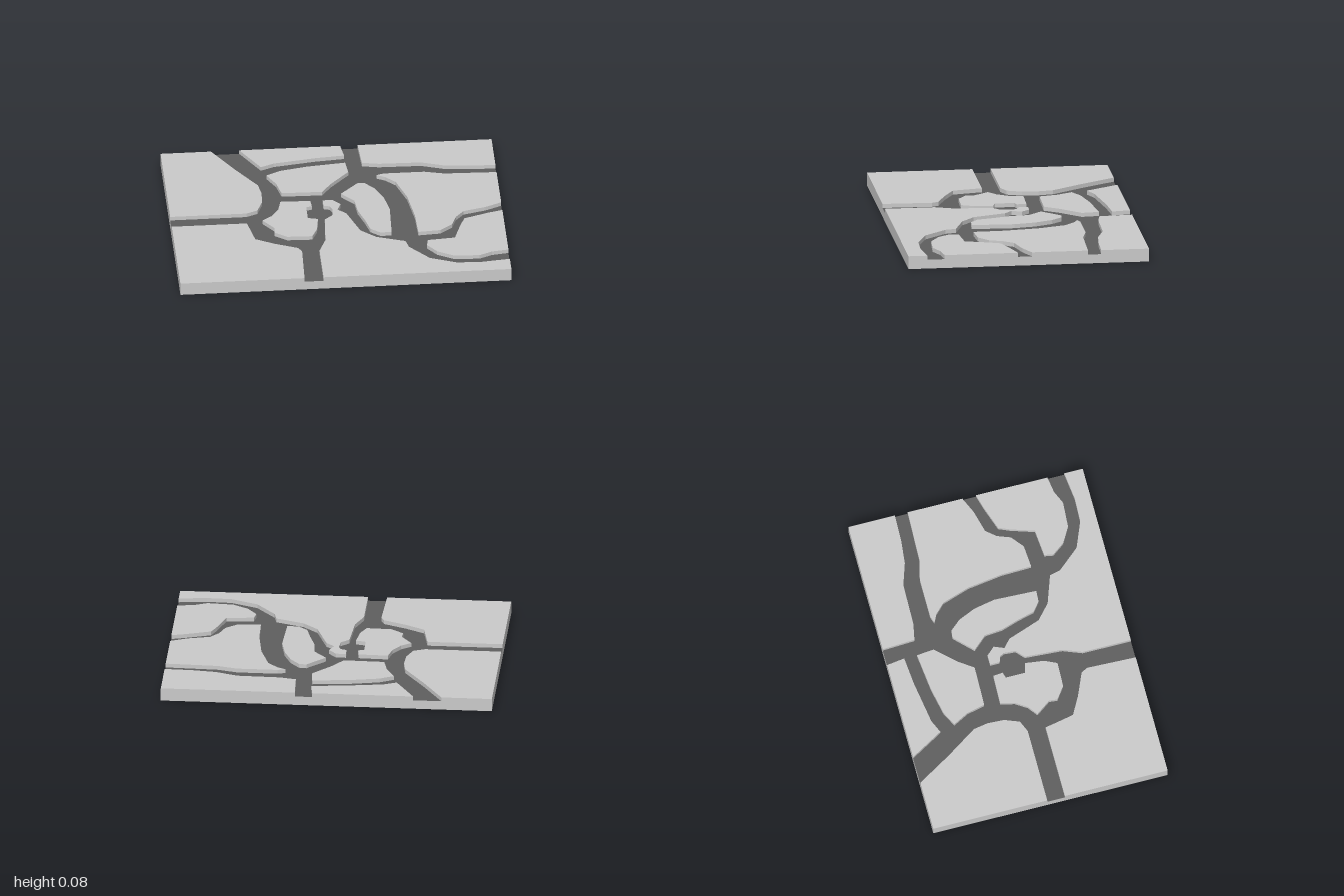
import * as THREE from 'three';

const HALF_DEPTH = 0.73; // half size in z
const FLOOR = 0.055;     // height of the sunken roads
const TOP = 0.08;        // height of the raised plates

// Outlines of the raised plates, as x, z pairs
const plates = {
  northWestPlate: [-1, -.73, -.695, -.73, -.57, -.52, -.445, -.33, -.43, -.24, -.435, -.14,
    -.47, -.05, -.54, -.02, -1, -.02],
  southWestPlate: [-1, .09, -.545, .09, -.53, .17, -.51, .27, -.4, .33, -.26, .39, -.24, .43,
    -.25, .73, -1, .73],
  northPlate: [-.525, -.73, .085, -.73, .1, -.62, -.07, -.605, -.33, -.565, -.41, -.53],
  northEastPlate: [.19, -.73, 1, -.73, 1, -.44, .83, -.445, .69, -.46, .555, -.505, .3, -.51,
    .2, -.53],
  northBlock: [-.385, -.435, -.3, -.48, -.13, -.515, .1, -.54, .11, -.435, -.005, -.31,
    -.065, -.225, -.31, -.23, -.335, -.34],
  centreBlock: [-.325, -.135, -.145, -.13, -.14, -.07, -.175, -.06, -.175, .06, -.115, .075,
    -.13, .19, -.165, .265, -.315, .26, -.39, .205, -.385, .155, -.45, .065, -.39, .02,
    -.345, -.05],
  southPlate: [-.135, .73, -.135, .43, -.09, .315, -.075, .085, -.025, .04, -.02, -.03,
    -.035, -.06, -.07, -.07, -.07, -.13, -.01, -.13, .035, -.08, .01, -.02, .06, .025,
    .1, .14, .13, .225, .22, .305, .39, .365, .405, .43, .52, .565, .68, .63, .83, .635,
    1, .615, 1, .73],
  ovalBlock: [.155, -.305, .045, -.195, .12, -.11, .13, 0, .165, .11, .19, .21, .245, .255,
    .315, .26, .325, 0, .3, -.13, .255, -.235, .2, -.3],
  eastPlate: [.275, -.385, .32, -.4, .565, -.4, .685, -.37, 1, -.36, 1, -.02, .9, .025,
    .765, .06, .715, .12, .685, .2, .61, .26, .475, .27, .47, .085, .44, -.13, .385, -.3,
    .325, -.36],
  southEastPlate: [1, .065, .91, .09, .765, .14, .735, .21, .69, .35, .525, .365, .515, .42,
    .57, .495, .665, .55, .82, .56, .9, .525, 1, .51],
};

// Extrude an x, z outline upward from the road level
function plateGeometry(outline) {
  const points = [];
  for (let i = 0; i < outline.length; i += 2) {
    points.push(new THREE.Vector2(outline[i], -outline[i + 1]));
  }
  return new THREE.ExtrudeGeometry(new THREE.Shape(points), { depth: TOP - FLOOR, bevelEnabled: false })
    .rotateX(-Math.PI / 2)
    .translate(0, FLOOR, 0);
}

export function createModel() {
  const stone = new THREE.MeshStandardMaterial({ color: 0xcacaca });
  stone.name = 'lightGrey';
  const road = new THREE.MeshStandardMaterial({ color: 0x5e5e5e });
  road.name = 'darkGrey';

  const group = new THREE.Group();
  group.name = 'roadTile';

  // Base slab, whose top face is the road surface
  const slab = new THREE.BoxGeometry(2, FLOOR, HALF_DEPTH * 2).translate(0, FLOOR / 2, 0);
  const base = new THREE.Mesh(slab, [stone, stone, road, stone, stone, stone]);
  base.name = 'base';
  group.add(base);

  // Raised land between the roads
  for (const [name, outline] of Object.entries(plates)) {
    const plate = new THREE.Mesh(plateGeometry(outline), stone);
    plate.name = name;
    group.add(plate);
  }
  return group;
}
